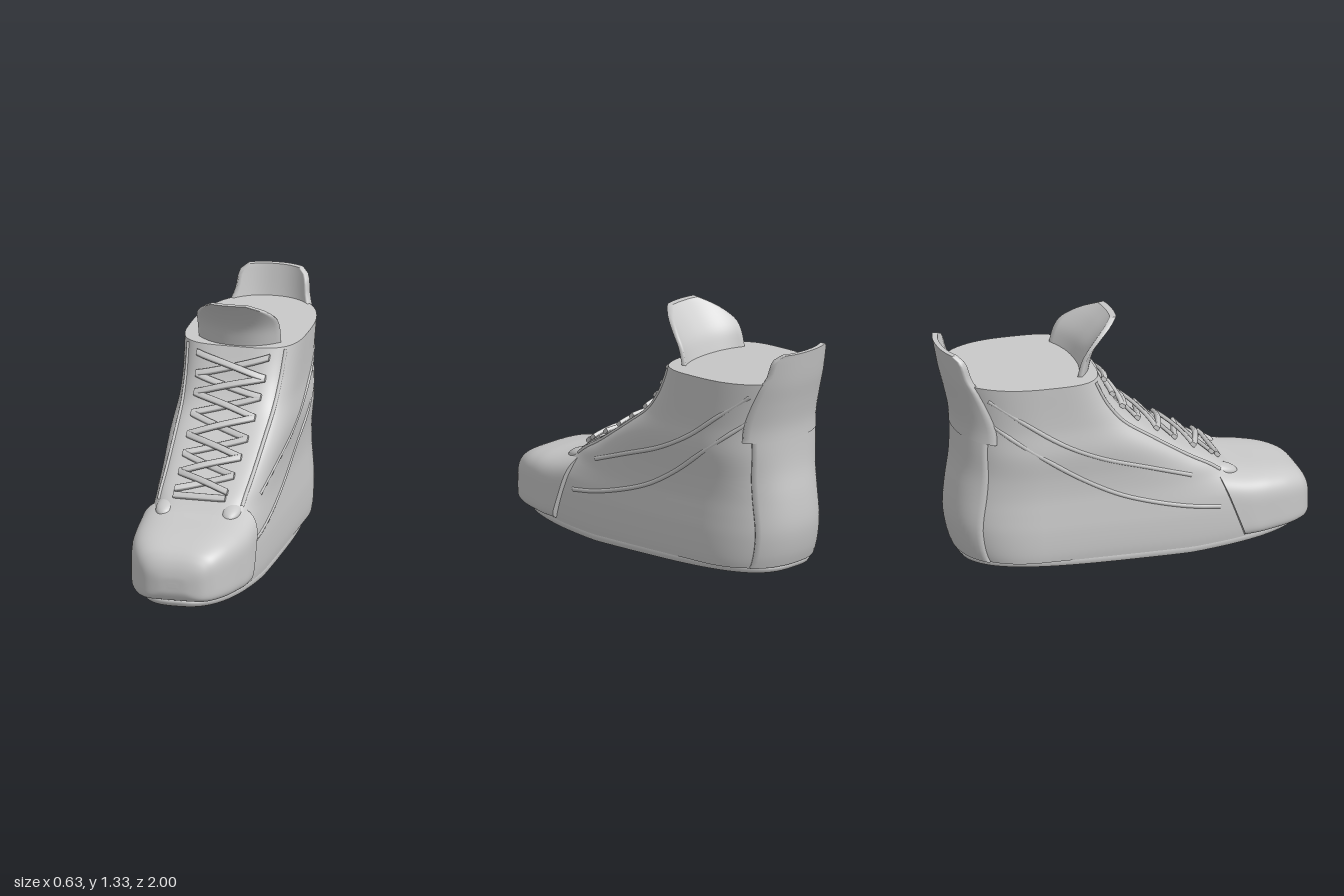
import * as THREE from 'three';

// Smooth curve through [key, value] pairs with ascending keys
function table(pts) {
  const last = pts.length - 1;
  const slope = (i) => {
    const a = pts[Math.max(i - 1, 0)], b = pts[Math.min(i + 1, last)];
    return (b[1] - a[1]) / (b[0] - a[0]);
  };
  return (k) => {
    let i = 0;
    while (i < last - 1 && k > pts[i + 1][0]) i++;
    const [k0, v0] = pts[i], [k1, v1] = pts[i + 1], h = k1 - k0;
    const t = Math.min(Math.max((k - k0) / h, 0), 1), t2 = t * t, t3 = t2 * t;
    return v0 * (2 * t3 - 3 * t2 + 1) + v1 * (3 * t2 - 2 * t3)
      + h * slope(i) * (t3 - 2 * t2 + t) + h * slope(i + 1) * (t3 - t2);
  };
}

// Closed skin over a list of equal-length rings, with end caps, facing outwards
function loft(rings) {
  const n = rings[0].length, pos = [], idx = [];
  const add = (p) => pos.push(p.x, p.y, p.z);
  rings.forEach((r) => r.forEach(add));
  for (let j = 0; j < rings.length - 1; j++) {
    for (let i = 0; i < n; i++) {
      const a = j * n + i, b = j * n + (i + 1) % n;
      idx.push(a, b, a + n, b, b + n, a + n);
    }
  }
  [rings[0], rings[rings.length - 1]].forEach((r, end) => {
    const s = pos.length / 3;
    r.forEach(add);
    // Caps zip across the ring so that curved strips stay filled correctly
    for (let i = 0; i < n / 2 - 1; i++) {
      const a = s + i, b = s + i + 1, c = s + n - 1 - i, d = s + n - 2 - i;
      if (end) idx.push(a, b, c, b, d, c);
      else idx.push(a, c, b, b, c, d);
    }
  });
  // Reverse the winding if the enclosed volume is negative
  const v = (i) => new THREE.Vector3().fromArray(pos, i * 3);
  let volume = 0;
  for (let i = 0; i < idx.length; i += 3) volume += v(idx[i]).dot(v(idx[i + 1]).cross(v(idx[i + 2])));
  if (volume < 0) idx.reverse();
  const g = new THREE.BufferGeometry();
  g.setAttribute('position', new THREE.Float32BufferAttribute(pos, 3));
  g.setIndex(idx);
  g.computeVertexNormals();
  return g;
}

const range = (n, f) => Array.from({ length: n + 1 }, (_, i) => f(i / n));
const lerp = THREE.MathUtils.lerp;

// The sole rises gently towards the heel and carries the upper with it
const P = (x, y, z) => new THREE.Vector3(x, y + Math.max(0, 0.3 - z) * 0.068, z);

// Upper: front, back and half width by height
const MID = -0.5, TOP = 1.045;
const frontOf = table([[0, 0.78], [0.28, 0.76], [0.34, 0.66], [0.4, 0.55], [0.46, 0.47], [0.52, 0.37],
  [0.6, 0.24], [0.68, 0.12], [0.77, 0], [0.87, -0.08], [0.95, -0.125], [TOP, -0.17]]);
const backOf = table([[0, -0.86], [0.05, -0.89], [0.15, -0.918], [0.25, -0.93], [0.4, -0.918], [0.55, -0.895],
  [0.7, -0.89], [0.8, -0.895], [0.92, -0.92], [TOP, -0.952], [1.22, -0.985]]);
const widthOf = table([[0, 0.288], [0.08, 0.3], [0.2, 0.302], [0.3, 0.296], [0.4, 0.29], [0.5, 0.293],
  [0.65, 0.307], [0.8, 0.301], [TOP, 0.313]]);
const frontPower = (y) => lerp(5.5, 3.7, THREE.MathUtils.smoothstep(y, 0.45, TOP));
const BACK_POWER = 2.3;
const arc = (r, n) => Math.pow(Math.max(0, 1 - Math.pow(Math.abs(r), n)), 1 / n);
const frontZ = (y, x) => MID + (frontOf(y) - MID) * arc(x / widthOf(y), frontPower(y));
const backZ = (y, x) => MID + (backOf(y) - MID) * arc(x / widthOf(y), BACK_POWER);
const sideX = (y, z) => widthOf(y) * (z > MID
  ? arc((z - MID) / (frontOf(y) - MID), frontPower(y))
  : arc((z - MID) / (backOf(y) - MID), BACK_POWER));

// Rounded outline with different front and back lengths
function outline(n, w, mid, front, back, nf, nb, make) {
  return Array.from({ length: n }, (_, i) => {
    const a = ((i + 0.5) / n) * Math.PI * 2 - Math.PI / 2;
    const c = Math.cos(a), s = Math.sin(a), e = 2 / (s > 0 ? nf : nb);
    return make(w * Math.sign(c) * Math.abs(c) ** e,
      mid + (s > 0 ? front - mid : mid - back) * Math.sign(s) * Math.abs(s) ** e);
  });
}

// Panel wrapped round the heel
function heelWrap(rows, thick, halfWidth) {
  return loft(rows.map((y) => {
    const hw = halfWidth(y);
    const out = range(24, (t) => { const x = lerp(-hw, hw, t); return P(x * 1.03, y, backZ(y, x) - thick); });
    const inn = range(24, (t) => { const x = lerp(hw, -hw, t); return P(x * 0.96, y, backZ(y, x) + 0.012); });
    return [...out, ...inn];
  }));
}

// Flat lace swept along points, lying on the sloping throat
function ribbon(pts) {
  return loft(pts.map((p) => Array.from({ length: 12 }, (_, i) => {
    const a = (i / 12) * Math.PI * 2;
    const across = 0.018 * Math.sign(Math.cos(a)) * Math.abs(Math.cos(a)) ** 0.5;
    const out = 0.011 * Math.sign(Math.sin(a)) * Math.abs(Math.sin(a)) ** 0.5;
    return new THREE.Vector3(p.x, p.y + across * 0.72 + out * 0.69, p.z - across * 0.69 + out * 0.72);
  })));
}

export function createModel() {
  const group = new THREE.Group();
  const grey = new THREE.MeshStandardMaterial({ color: 0xc8c8c8 });
  grey.name = 'light grey';
  const add = (name, geometry, parent = group) => {
    const m = new THREE.Mesh(geometry, grey);
    m.name = name;
    parent.add(m);
    return m;
  };
  const tube = (name, pts, r, parent) => add(name,
    new THREE.TubeGeometry(new THREE.CatmullRomCurve3(pts), pts.length * 4, r, 8), parent);

  // Sole with softly rounded edge
  add('sole', loft([[0, 0.975], [0.006, 0.99], [0.02, 1], [0.034, 1], [0.043, 0.985]].map(([y, k]) =>
    outline(80, 0.294 * k, 0, 0.95 * k, -0.885 * k, 2.8, 3, (x, z) => P(x, y, z)))));

  // Upper, closed flat at the ankle
  add('upper', loft(range(56, (t) => {
    const y = lerp(0.035, TOP, t);
    return outline(112, widthOf(y), MID, frontOf(y), backOf(y), frontPower(y), BACK_POWER, (x, z) => P(x, y, z));
  })));

  // Toe cap: rows of z, half width, bottom and top
  const toe = [[1, 0.02, 0.12, 0.14], [0.998, 0.08, 0.085, 0.178], [0.985, 0.14, 0.055, 0.225], [0.96, 0.182, 0.042, 0.268],
    [0.92, 0.22, 0.038, 0.303], [0.84, 0.262, 0.036, 0.336], [0.74, 0.291, 0.036, 0.359], [0.64, 0.308, 0.036, 0.382],
    [0.53, 0.314, 0.036, 0.428]];
  const col = [0, 1, 2, 3].map((c) => table(toe.map((r, i) => [i, r[c]])));
  add('toeCap', loft(range(48, (t) => {
    const [z, w, lo, hi] = col.map((f) => f(t * (toe.length - 1)));
    const slant = THREE.MathUtils.smoothstep(0.75 - z, 0, 0.22);
    return outline(88, w, lerp(lo, hi, 0.45), hi, lo, 3.7, 7, (x, y) =>
      new THREE.Vector3(x, y, z + slant * (0.06 - 0.14 * (y - 0.04) / 0.38)));
  })));

  // Heel counter and pull tab
  add('heelCounter', heelWrap(range(20, (t) => lerp(0.035, 0.74, t)), 0.012, () => 0.22));
  const tabWidth = table([[0.7, 0.25], [0.85, 0.24], [1.02, 0.215], [1.08, 0.195], [1.15, 0.185], [1.18, 0.175], [1.205, 0.14]]);
  add('pullTab', heelWrap(range(20, (t) => lerp(0.72, 1.205, t)), 0.016, tabWidth));

  // Tongue leaning forwards, thick at the base, with its sides curled back
  const tongueZ = table([[1, -0.2], [1.1, -0.18], [1.18, -0.155], [1.26, -0.1], [1.33, -0.035]]);
  const tongueW = table([[1, 0.218], [1.2, 0.218], [1.24, 0.205], [1.29, 0.16], [1.33, 0.095]]);
  add('tongue', loft(range(20, (t) => {
    const y = lerp(1, 1.33, t), hw = tongueW(y), thick = lerp(0.07, 0.035, t);
    const curl = (x) => Math.abs(x / 0.22) ** 2.4;
    return [...range(20, (u) => {
      const x = lerp(-hw, hw, u);
      return new THREE.Vector3(x, y, tongueZ(y) - 0.1 * curl(x));
    }), ...range(20, (u) => {
      const x = lerp(hw, -hw, u);
      return new THREE.Vector3(x * 0.96, y, tongueZ(y) - thick - (0.12 - thick) * curl(x));
    })];
  })));

  // Eyestay edges, side seams and eyestay ends, mirrored
  const seams = {
    sideOverlay: [[0.45, 0.24], [0.3, 0.27], [0.1, 0.33], [-0.1, 0.41], [-0.3, 0.53], [-0.5, 0.68], [-0.68, 0.82], [-0.82, 0.94]],
    ankleSeam: [[0.3, 0.44], [0.05, 0.54], [-0.2, 0.64], [-0.42, 0.76], [-0.62, 0.91], [-0.8, 1.05]],
  };
  for (const s of [1, -1]) {
    const side = new THREE.Group();
    side.name = s > 0 ? 'leftSide' : 'rightSide';
    group.add(side);
    tube('eyestayEdge', range(14, (t) => {
      const y = lerp(0.42, 1.03, t), x = lerp(0.222, 0.258, t);
      return P(s * x, y, frontZ(y, x) - 0.003);
    }), 0.01, side);
    for (const [name, pts] of Object.entries(seams)) {
      tube(name, pts.map(([z, y]) => {
        const yb = y - Math.max(0, 0.3 - z) * 0.068;
        return P(s * (sideX(yb, z) - 0.008), yb, z);
      }), 0.014, side);
    }
    const end = add('eyestayEnd', new THREE.SphereGeometry(1, 24, 16), side);
    end.scale.set(0.05, 0.032, 0.085);
    end.position.set(s * 0.175, 0.398, 0.5);
    end.rotation.x = 0.3;
  }

  // Crossed flat laces over the throat
  const laces = new THREE.Group();
  laces.name = 'laces';
  group.add(laces);
  const rowY = [0.995, 0.9, 0.82, 0.74, 0.665, 0.6, 0.535, 0.475];
  const rowW = (i) => lerp(0.193, 0.14, i / 7);
  const onThroat = (x, y, lift) => P(x, y + lift * 0.7, frontZ(y, x) + lift * 0.75);
  for (let i = 0; i < 7; i++) {
    for (const s of [1, -1]) {
      const over = s * (i % 2 ? 1 : -1) > 0 ? 0.03 : 0.01;
      add('lace', ribbon(range(10, (t) => onThroat(s * lerp(rowW(i), -rowW(i + 1), t), lerp(rowY[i], rowY[i + 1], t),
        lerp(0.016, over, Math.sin(Math.PI * t))))), laces);
    }
  }
  add('bottomLace', ribbon(range(6, (t) => onThroat(lerp(-0.138, 0.138, t), 0.452, 0.014))), laces);

  return group;
}
